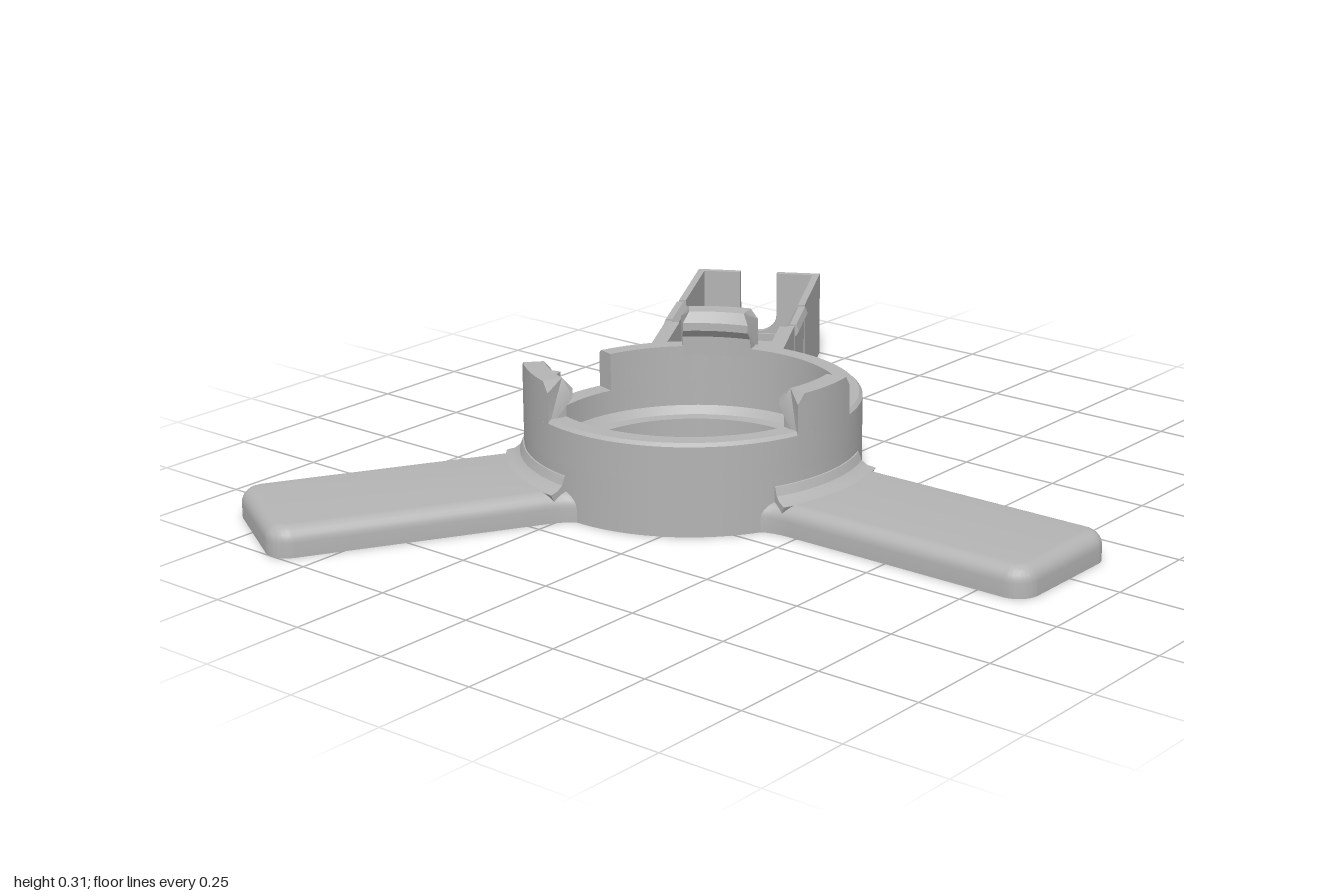
import * as THREE from 'three';
import { toCreasedNormals } from 'three/addons/utils/BufferGeometryUtils.js';

const grey = new THREE.MeshStandardMaterial({ color: 0xb4b4b4 });
grey.name = 'grey plastic';
const RAD = Math.PI / 180;

function part(name, geometry, parent) {
  const mesh = new THREE.Mesh(geometry, grey);
  mesh.name = name;
  parent.add(mesh);
  return mesh;
}

// Sweeps a closed counter-clockwise (radius, y) profile around the y axis.
function arcSolid(profile, from, to, steps, widthAt = () => 1) {
  const mid = (from + to) / 2, full = to - from >= 360, pos = [];
  const point = (k, s) => {
    const [r, y] = profile[k];
    const a = (mid + (from + (to - from) * s / steps - mid) * widthAt(y)) * RAD;
    return [r * Math.cos(a), y, -r * Math.sin(a)];
  };
  for (let s = 0; s < steps; s++) {
    for (let i = 0; i < profile.length; i++) {
      const j = (i + 1) % profile.length;
      const a = point(i, s), b = point(j, s), c = point(j, s + 1), d = point(i, s + 1);
      pos.push(...a, ...d, ...c, ...a, ...c, ...b);
    }
  }
  if (!full) {
    const contour = profile.map(([r, y]) => new THREE.Vector2(r, y));
    for (const [a, b, c] of THREE.ShapeUtils.triangulateShape(contour, [])) {
      pos.push(...point(a, 0), ...point(b, 0), ...point(c, 0));
      pos.push(...point(c, steps), ...point(b, steps), ...point(a, steps));
    }
  }
  const g = new THREE.BufferGeometry();
  g.setAttribute('position', new THREE.Float32BufferAttribute(pos, 3));
  return toCreasedNormals(g, 30 * RAD);
}

function boxBetween(x0, x1, y0, y1, z0, z1) {
  return new THREE.BoxGeometry(x1 - x0, y1 - y0, z1 - z0)
    .translate((x0 + x1) / 2, (y0 + y1) / 2, (z0 + z1) / 2);
}

const polygon = (pts) => new THREE.Shape(pts.map(([x, y]) => new THREE.Vector2(x, y)));
const extrude = (shape, depth) =>
  new THREE.ExtrudeGeometry(shape, { depth, bevelEnabled: false, curveSegments: 12 });

// Flat foot with rounded corners and top edges, flared where it meets the ring.
function footGeometry() {
  const end = 1.07, w = 0.175, c = 0.055, bevel = 0.035;
  const s = new THREE.Shape();
  s.moveTo(0.35, -0.195);
  s.quadraticCurveTo(0.375, -w, 0.43, -w);
  s.lineTo(end - c, -w);
  s.absarc(end - c, -w + c, c, -Math.PI / 2, 0);
  s.lineTo(end, w - c);
  s.absarc(end - c, w - c, c, 0, Math.PI / 2);
  s.lineTo(0.43, w);
  s.quadraticCurveTo(0.375, w, 0.35, 0.195);
  s.quadraticCurveTo(0.38, 0, 0.35, -0.195);
  const g = new THREE.ExtrudeGeometry(s, {
    depth: 0.07 - bevel, bevelThickness: bevel, bevelSize: bevel,
    bevelOffset: -bevel, bevelSegments: 6, curveSegments: 8,
  });
  // Flatten the lower bevel into a level underside.
  const p = g.attributes.position;
  for (let i = 0; i < p.count; i++) p.setZ(i, Math.max(0, p.getZ(i)));
  g.rotateX(-Math.PI / 2);
  return toCreasedNormals(g, 35 * RAD);
}

// Open tray with clip walls and a cable slot in its end.
function addTray(arm) {
  const end = 1.066, w = 0.167, t = 0.018, h = 0.225;
  part('trayBase', boxBetween(0.36, end - t, 0, 0.035, -w + t, w - t), arm);
  const floor = polygon([[0.36, -w + t], [end - t, -w + t], [end - t, w - t], [0.36, w - t]]);
  floor.holes.push(new THREE.Path([[0.785, -0.12], [0.785, 0.12], [1.04, 0.12], [1.04, -0.12]]
    .map(([x, y]) => new THREE.Vector2(x, y))));
  part('trayFloor', extrude(floor, 0.02).rotateX(-Math.PI / 2).translate(0, 0.035, 0), arm);
  part('floorRib', boxBetween(0.765, 0.785, 0.05, 0.06, -w + t, w - t), arm);

  // Side walls, each with two slits that free a springy clip.
  const a = 0.56, b = 0.755, slit = 0.014, low = 0.06, clip = 0.2;
  const side = polygon([[0.345, 0], [end, 0], [end, h], [b, h], [b, low], [b - slit, low],
    [b - slit, clip], [a + slit, clip], [a + slit, low], [a, low], [a, h], [0.345, h]]);
  const bead = polygon([[-0.014, 0.195], [0.003, 0.195], [0.01, 0.208], [0.003, 0.225], [-0.014, 0.225], [-0.026, 0.21]]);
  for (const m of [-1, 1]) {
    part('traySideWall', extrude(side, t).translate(0, 0, m > 0 ? w - t : -w), arm);
    part('trayInnerWall', boxBetween(0.36, 0.55, 0.05, h, m > 0 ? 0.13 : -w + t, m > 0 ? w - t : -0.13), arm);
    const clipBead = part('clipBead', extrude(bead, b - a - 2 * slit), arm);
    clipBead.rotation.y = m > 0 ? -Math.PI / 2 : Math.PI / 2;
    clipBead.position.set(m > 0 ? b - slit : a + slit, 0, m * w);
  }

  // End wall with a round-bottomed slot.
  const e = new THREE.Shape(), r = 0.05;
  e.moveTo(-w + t, 0);
  e.lineTo(w - t, 0);
  e.lineTo(w - t, h);
  e.lineTo(r, h);
  e.lineTo(r, 0.06 + r);
  e.absarc(0, 0.06 + r, r, 0, -Math.PI, true);
  e.lineTo(-r, h);
  e.lineTo(-w + t, h);
  part('trayEndWall', extrude(e, t).rotateY(Math.PI / 2).translate(end - t, 0, 0), arm);
}

export function createModel() {
  const model = new THREE.Group();
  model.name = 'ringStand';
  const body = new THREE.Group();
  body.name = 'body';
  body.position.set(-0.007, 0, -0.198);
  model.add(body);

  // Ring with an inner ledge and a lowered gap at the back.
  part('ringBase', arcSolid([[0.305, 0], [0.405, 0], [0.405, 0.13], [0.355, 0.13],
    [0.355, 0.07], [0.34, 0.05], [0.305, 0.05]], 0, 360, 96), body);
  part('ringWall', arcSolid([[0.355, 0.13], [0.405, 0.13], [0.405, 0.217], [0.397, 0.225],
    [0.355, 0.225]], 105, 435, 88), body);

  // Three arms, each with a snap tab standing on the ring above it.
  const tab = arcSolid([[0.355, 0.2], [0.405, 0.2], [0.405, 0.29], [0.405, 0.315],
    [0.355, 0.315], [0.337, 0.29], [0.337, 0.27], [0.354, 0.25]], -14, 14, 8,
  (y) => (y > 0.3 ? 0.8 : 1));
  const fillet = arcSolid([[0.39, 0.03], [0.43, 0.03], [0.45, 0.069], [0.43, 0.074], [0.416, 0.085],
    [0.408, 0.105], [0.39, 0.11]], -23, 23, 12);
  const foot = footGeometry();
  const arms = [['frontArm', -90], ['rightArm', 150], ['trayArm', 30]];
  for (const [name, angle] of arms) {
    const arm = new THREE.Group();
    arm.name = name;
    arm.rotation.y = angle * RAD;
    body.add(arm);
    part('snapTab', tab, arm);
    if (name === 'trayArm') addTray(arm);
    else {
      part('foot', foot, arm);
      part('footFillet', fillet, arm);
    }
  }
  return model;
}
